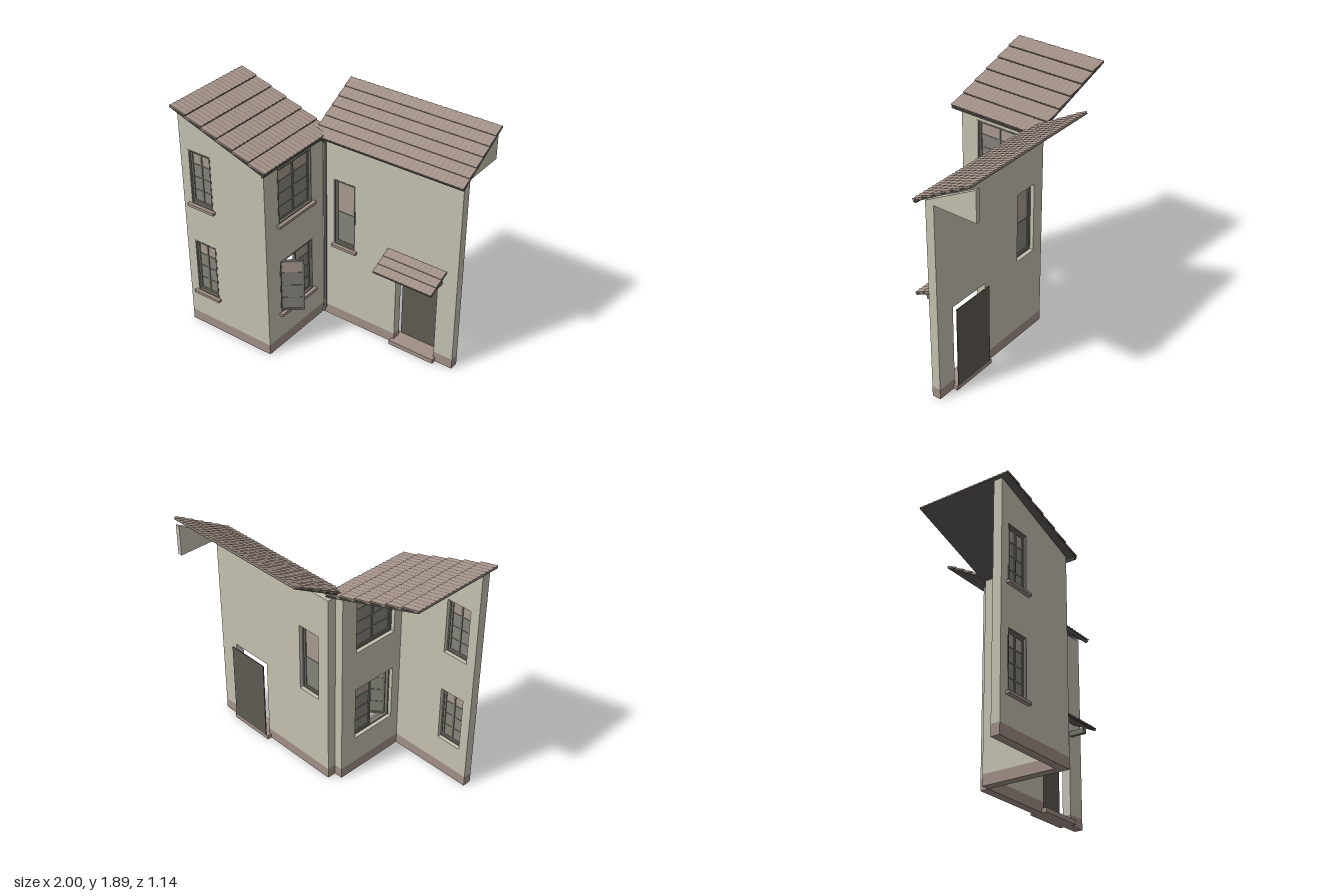
import * as THREE from 'three';

const mat = (name, color, side = THREE.FrontSide) => {
  const m = new THREE.MeshStandardMaterial({ color, side });
  m.name = name;
  return m;
};

export function createModel() {
  const wallMat = mat('plaster', 0xc4c1b0);
  const brown = mat('brown trim', 0xa08f86);
  const tileMat = mat('roof tile', 0xa19087);
  const dark = mat('dark roof deck', 0x5c5a55);
  const frameMat = mat('window frame', 0x77756c);
  const glassMat = mat('window glass', 0x84837a);
  const blindMat = mat('upper pane', 0xa89a90);
  const doorMat = mat('door', 0x5e5952);
  const pipeMat = mat('drainpipe', 0x63625d);

  const model = new THREE.Group();
  model.name = 'house';

  const add = (parent, name, geo, material, x = 0, y = 0, z = 0) => {
    const m = new THREE.Mesh(geo, material);
    m.name = name;
    m.position.set(x, y, z);
    parent.add(m);
    return m;
  };
  // box given by its limits on each axis
  const box = (parent, name, material, x0, x1, y0, y1, z0, z1) =>
    add(parent, name, new THREE.BoxGeometry(x1 - x0, y1 - y0, z1 - z0), material,
      (x0 + x1) / 2, (y0 + y1) / 2, (z0 + z1) / 2);
  const slab = (pts, holes, depth) => {
    const s = new THREE.Shape(pts.map(p => new THREE.Vector2(...p)));
    for (const [x0, x1, y0, y1] of holes) {
      s.holes.push(new THREE.Path([[x0, y0], [x0, y1], [x1, y1], [x1, y0]].map(p => new THREE.Vector2(...p))));
    }
    return new THREE.ExtrudeGeometry(s, { depth, bevelEnabled: false });
  };
  // each face group: local z = 0 is the outer wall surface
  const face = (name, x, z, turn = 0) => {
    const g = new THREE.Group();
    g.name = name;
    g.position.set(x, 0, z);
    g.rotation.y = turn;
    model.add(g);
    return g;
  };

  // glazed sash with bars; the top row is a different tone
  const sash = (parent, name, x0, x1, y0, y1, cols, rows, z = -0.025, edge = 0.016) => {
    const g = new THREE.Group();
    g.name = name;
    g.position.z = z;
    parent.add(g);
    const t = 0.01, h = (y1 - y0) / rows, w = (x1 - x0) / cols, split = y1 - h;
    box(g, 'glass', glassMat, x0, x1, y0, split, -0.003, 0.003);
    box(g, 'upperGlass', blindMat, x0, x1, split, y1, -0.003, 0.003);
    for (const [a, b] of [[x0, x0 + edge], [x1 - edge, x1]]) box(g, 'stile', frameMat, a, b, y0, y1, -t, t);
    for (const [a, b] of [[y0, y0 + edge], [y1 - edge, y1]]) box(g, 'rail', frameMat, x0 + edge, x1 - edge, a, b, -t, t);
    for (let i = 1; i < cols; i++) box(g, 'mullion', frameMat, x0 + i * w - 0.008, x0 + i * w + 0.008, y0, y1, -0.009, 0.009);
    for (let i = 1; i < rows; i++) box(g, 'glazingBar', frameMat, x0, x1, y0 + i * h - 0.004, y0 + i * h + 0.004, -0.006, 0.006);
    return g;
  };
  const sill = (parent, x0, x1, y) => box(parent, 'windowSill', brown, x0 - 0.02, x1 + 0.02, y - 0.022, y, -0.03, 0.03);
  const surround = (parent, x0, x1, y0, y1) => add(parent, 'windowSurround', slab(
    [[x0, y0], [x1, y0], [x1, y1], [x0, y1]], [[x0 + 0.01, x1 - 0.01, y0 + 0.01, y1 - 0.01]], 0.042), frameMat, 0, 0, -0.04);

  const T = 0.07, B = 0.085;
  const levels = [[0.31, 0.765], [1.095, 1.54]];

  // front wall of the tall wing, with a sloping top
  const front = face('frontWall', 0, 0.51);
  add(front, 'frontWallPlaster', slab([[-0.98, B], [-0.215, B], [-0.215, 1.605], [-0.98, 1.86]],
    levels.map(([a, b]) => [-0.905, -0.7, a, b]), T), wallMat, 0, 0, -T);
  box(front, 'frontPlinth', brown, -0.98, -0.215, 0, B, -T, 0);
  for (const [a, b] of levels) {
    surround(front, -0.905, -0.7, a, b);
    sash(front, 'frontWindow', -0.895, -0.71, a + 0.01, b - 0.01, 2, 4);
    sill(front, -0.905, -0.7, a);
  }

  // side wall of the tall wing, facing +x (local x runs towards the back)
  const side = face('sideWall', -0.215, 0, Math.PI / 2);
  add(side, 'sideWallPlaster', slab([[-0.44, B], [0.158, B], [0.158, 1.6], [-0.44, 1.6]],
    levels.map(([a, b]) => [-0.365, 0.02, a, b]), T), wallMat, 0, 0, -T);
  box(side, 'sidePlinth', brown, -0.44, 0.158, 0, B, -T, 0);
  for (const [a, b] of levels) {
    surround(side, -0.365, 0.02, a, b);
    sill(side, -0.365, 0.02, a);
  }
  sash(side, 'upperSideWindow', -0.355, 0.01, 1.105, 1.53, 2, 4);
  sash(side, 'closedSash', -0.172, 0.01, 0.32, 0.755, 1, 4);
  // sash swung outwards on its front hinge
  const hinge = face('openSashHinge', -0.235, 0.345, 0.67);
  sash(hinge, 'openSash', 0, 0.18, 0.315, 0.765, 1, 4, 0);

  // long wing wall with door notch and one tall window
  const wing = face('wingWall', 0, -0.158);
  add(wing, 'wingWallPlaster', slab([[-0.215, B], [0.45, B], [0.45, 0.71], [0.805, 0.71], [0.805, B],
    [0.965, B], [0.965, 1.6], [-0.215, 1.6]], [[-0.115, 0.08, 0.695, 1.255]], T), wallMat, 0, 0, -T);
  box(wing, 'wingPlinth', brown, -0.215, 0.45, 0, B, -T, 0);
  box(wing, 'wingPlinth', brown, 0.805, 0.965, 0, B, -T, 0);
  surround(wing, -0.115, 0.08, 0.695, 1.255);
  sash(wing, 'wingWindow', -0.105, 0.07, 0.705, 1.245, 1, 2);
  sill(wing, -0.1, 0.08, 0.695);

  // end gable under the long roof
  const gable = face('gable', 0.93, 0, Math.PI / 2);
  add(gable, 'gablePlaster', slab([[0.158, 1.6], [0.575, 1.6], [0.575, 1.84], [0.158, 1.615]], [], 0.035), wallMat);

  // door, step and canopy brackets
  box(model, 'door', doorMat, 0.45, 0.805, 0.035, 0.705, -0.266, -0.258);
  box(model, 'doorStep', brown, 0.43, 0.82, 0, 0.035, -0.264, -0.12);
  for (const x of [0.405, 0.81]) box(model, 'canopyBracket', frameMat, x, x + 0.033, 0.72, 0.76, -0.158, -0.028);

  // tiled slope: width along local x, rising towards local -z from the eave
  const roof = (name, width, length, rows, angle, pos, turn) => {
    const g = face(name, pos[0], pos[2], turn);
    g.position.y = pos[1];
    const slope = new THREE.Group();
    slope.rotation.x = angle;
    g.add(slope);
    box(slope, 'roofDeck', dark, -width / 2, width / 2, 0, 0.01, -length, 0);
    const n = Math.round(width / 0.04) * 4, pts = [[-width / 2, 0], [width / 2, 0]];
    for (let i = n; i >= 0; i--) {
      pts.push([-width / 2 + width * i / n, 0.008 + 0.003 * Math.cos(i * Math.PI / 2)]);
    }
    const run = length / rows, geo = slab(pts, [], run);
    for (let i = 0; i < rows; i++) {
      const row = add(slope, 'tileRow', geo, tileMat, 0, 0.008, -(i + 1) * run);
      row.rotation.x = -0.09;
    }
    return g;
  };
  roof('tallWingRoof', 0.77, 0.875, 6, 0.319, [-0.167, 1.597, 0.182], Math.PI / 2);
  roof('longWingRoof', 1.25, 0.545, 6, 0.522, [0.375, 1.592, -0.09], 0);
  roof('doorCanopy', 0.495, 0.22, 3, 0.45, [0.627, 0.737, 0.038], 0);

  // gutters and drainpipe
  const gutter = (len, x, y, z, turn) => {
    const m = add(model, 'gutter', new THREE.CylinderGeometry(0.012, 0.012, len, 10), pipeMat, x, y, z);
    m.rotation.set(0, turn, Math.PI / 2);
  };
  gutter(1.24, 0.375, 1.597, -0.1, 0);
  gutter(0.76, -0.178, 1.598, 0.185, Math.PI / 2);
  const path = [[-0.195, 1.6, -0.1], [-0.175, 1.55, -0.132], [-0.175, 0.09, -0.132], [-0.178, 0.058, -0.112]]
    .map(p => new THREE.Vector3(...p));
  for (let i = 0; i < 3; i++) {
    const tube = new THREE.TubeGeometry(new THREE.LineCurve3(path[i], path[i + 1]), 1, 0.012, 10);
    add(model, 'drainpipe', tube, pipeMat);
    add(model, 'pipeJoint', new THREE.SphereGeometry(0.0125, 10, 8), pipeMat, ...path[i + 1].toArray());
  }
  return model;
}
